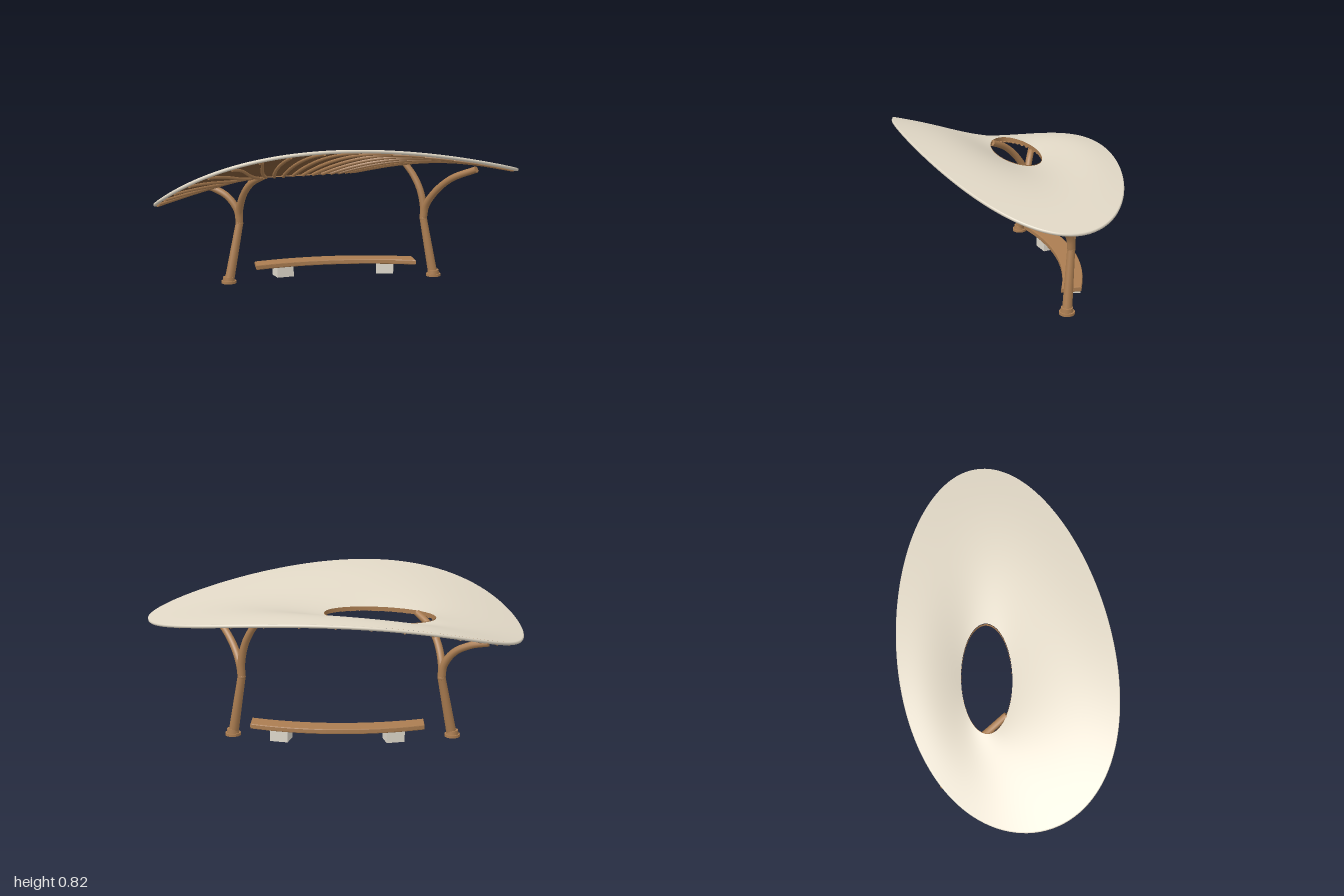
import * as THREE from 'three';

const mat = (name, color, side = THREE.FrontSide) => {
  const m = new THREE.MeshStandardMaterial({ color, side });
  m.name = name;
  return m;
};

// Canopy surface: t runs around, s runs from the oculus (0) to the outer rim (1).
function canopyPoint(t, s, drop = 0) {
  const c = Math.cos(t), n = Math.sin(t);
  const outerX = 0.998 * c - 0.17 * n * n;
  const outerZ = -0.1 * c + 0.547 * n;
  const outerY = 0.655 + 0.058 * c - 0.089 * Math.cos(2 * t) + 0.073 * n - 0.014 * Math.sin(2 * t);
  const holeX = -0.22 + 0.295 * c, holeZ = -0.1 + 0.132 * n;
  const holeY = 0.63 + 0.012 * c + 0.015 * n;
  const bulge = 0.055 * (0.55 + 0.45 * c) * Math.sin(Math.PI * s);
  return new THREE.Vector3(
    THREE.MathUtils.lerp(holeX, outerX, s),
    THREE.MathUtils.lerp(holeY, outerY, s) + bulge - drop,
    THREE.MathUtils.lerp(holeZ, outerZ, s)
  );
}

// Closed strip of quads: u wraps around, v runs across.
function ringGrid(fn, nu, nv, flip = false) {
  const pos = [], index = [];
  for (let i = 0; i < nu; i++)
    for (let j = 0; j <= nv; j++) pos.push(...fn((i / nu) * Math.PI * 2, j / nv).toArray());
  for (let i = 0; i < nu; i++)
    for (let j = 0; j < nv; j++) {
      const a = i * (nv + 1) + j, b = ((i + 1) % nu) * (nv + 1) + j;
      if (flip) index.push(a, a + 1, b, b, a + 1, b + 1);
      else index.push(a, b, a + 1, b, b + 1, a + 1);
    }
  const g = new THREE.BufferGeometry();
  g.setAttribute('position', new THREE.Float32BufferAttribute(pos, 3));
  g.setIndex(index);
  g.computeVertexNormals();
  return g;
}

// Round limb along a curve, tapering from r0 to r1.
function taperedTube(curve, r0, r1, segments, sides) {
  const g = new THREE.TubeGeometry(curve, segments, r0, sides);
  const p = g.attributes.position, v = new THREE.Vector3();
  for (let i = 0; i < p.count; i++) {
    const u = Math.floor(i / (sides + 1)) / segments;
    const centre = curve.getPointAt(u);
    v.fromBufferAttribute(p, i).sub(centre).multiplyScalar(1 + (r1 / r0 - 1) * u).add(centre);
    p.setXYZ(i, v.x, v.y, v.z);
  }
  return g;
}

export function createModel() {
  const model = new THREE.Group();
  model.name = 'shelter';
  const cream = mat('cream roof', 0xe0d7c5);
  const wood = mat('wood', 0xab7d51, THREE.DoubleSide);
  const dark = mat('dark soffit', 0x805a38);
  const stone = mat('pale stone', 0xded8cb);
  const add = (name, geometry, material, parent = model) => {
    const mesh = new THREE.Mesh(geometry, material);
    mesh.name = name;
    parent.add(mesh);
    return mesh;
  };
  const curveThrough = (pts) => new THREE.CatmullRomCurve3(pts.map((p) => new THREE.Vector3(...p)));

  // Canopy skins
  add('canopyTop', ringGrid((t, s) => canopyPoint(t, s), 128, 24), cream);
  add('canopySoffit', ringGrid((t, s) => canopyPoint(t, s, 0.014), 128, 24, true), dark);

  // Rolled outer rim tucked under the edge, and band around the oculus
  const rimPoints = [];
  for (let i = 0; i < 96; i++) rimPoints.push(canopyPoint((i / 96) * Math.PI * 2, 0.99, 0.0105));
  add('canopyRim', new THREE.TubeGeometry(new THREE.CatmullRomCurve3(rimPoints, true), 160, 0.009, 10, true), cream);
  add('oculusBand', ringGrid((t, v) => canopyPoint(t, -0.004, -0.003 + 0.023 * v), 96, 1), wood);

  // Swept ribs under the canopy, turning sideways as they near the oculus
  const ribs = new THREE.Group();
  ribs.name = 'ribs';
  model.add(ribs);
  const ribCount = 36;
  for (let i = 0; i < ribCount; i++) {
    const t = (i / ribCount) * Math.PI * 2;
    const pts = [];
    for (let j = 0; j <= 10; j++) {
      const s = 0.01 + 0.96 * (j / 10);
      pts.push(canopyPoint(t + 0.35 * (1 - s) ** 2, s, 0.019));
    }
    add('rib', taperedTube(new THREE.CatmullRomCurve3(pts), 0.01, 0.008, 22, 6), wood, ribs);
  }

  // Forked posts: foot, fork point, and two branches each
  const posts = [
    {
      name: 'rightPost', foot: [-0.605, 0, -0.205], fork: [-0.54, 0.33, -0.235],
      branches: [
        [[-0.54, 0.4, -0.225], [-0.52, 0.5, -0.165], [-0.48, 0.575, -0.09], [-0.42, 0.622, -0.005]],
        [[-0.55, 0.4, -0.24], [-0.6, 0.475, -0.265], [-0.68, 0.52, -0.3], [-0.765, 0.54, -0.335]],
      ],
    },
    {
      name: 'leftPost', foot: [0.555, 0, -0.205], fork: [0.5, 0.33, -0.235],
      branches: [
        [[0.5, 0.4, -0.237], [0.483, 0.49, -0.25], [0.45, 0.57, -0.275], [0.4, 0.645, -0.305]],
        [[0.51, 0.4, -0.225], [0.55, 0.49, -0.165], [0.62, 0.575, -0.08], [0.73, 0.638, 0.03]],
      ],
    },
  ];
  for (const { name, foot, fork, branches } of posts) {
    const post = new THREE.Group();
    post.name = name;
    model.add(post);
    const trunk = new THREE.LineCurve3(new THREE.Vector3(...foot), new THREE.Vector3(...fork));
    add('trunk', taperedTube(trunk, 0.027, 0.021, 4, 12), wood, post);
    add('forkJoint', new THREE.SphereGeometry(0.022, 12, 8), wood, post).position.set(...fork);
    for (const pts of branches) {
      const path = curveThrough([fork, ...pts]);
      add('branch', taperedTube(path, 0.021, 0.018, 24, 10), wood, post);
      const cap = add('branchEnd', new THREE.CircleGeometry(0.018, 10), wood, post);
      cap.position.copy(path.getPointAt(1));
      cap.quaternion.setFromUnitVectors(new THREE.Vector3(0, 0, 1), path.getTangentAt(1));
    }
    add('footPlate', new THREE.CylinderGeometry(0.041, 0.041, 0.014, 20), wood, post).position.set(foot[0], 0.008, foot[2]);
    add('footCollar', new THREE.CylinderGeometry(0.031, 0.033, 0.022, 20), wood, post).position.set(foot[0], 0.026, foot[2]);
  }

  // Bow-shaped bench seat on two blocks
  const bench = new THREE.Group();
  bench.name = 'bench';
  model.add(bench);
  const seatShape = new THREE.Shape();
  seatShape.moveTo(-0.448, 0.205);
  seatShape.quadraticCurveTo(0, 0.365, 0.448, 0.205);
  seatShape.lineTo(0.448, 0.303);
  seatShape.quadraticCurveTo(0, 0.467, -0.448, 0.303);
  const seatGeo = new THREE.ExtrudeGeometry(seatShape, {
    depth: 0.018, bevelEnabled: true, bevelThickness: 0.005, bevelSize: 0.005, bevelSegments: 2, curveSegments: 32,
  });
  seatGeo.rotateX(-Math.PI / 2);
  add('seat', seatGeo, wood, bench).position.y = 0.073;
  for (const side of [-1, 1]) {
    const block = add('benchBlock', new THREE.BoxGeometry(0.096, 0.058, 0.085), stone, bench);
    block.position.set(side * 0.293, 0.039, -0.3);
    block.rotation.y = -side * 0.24;
  }
  return model;
}
